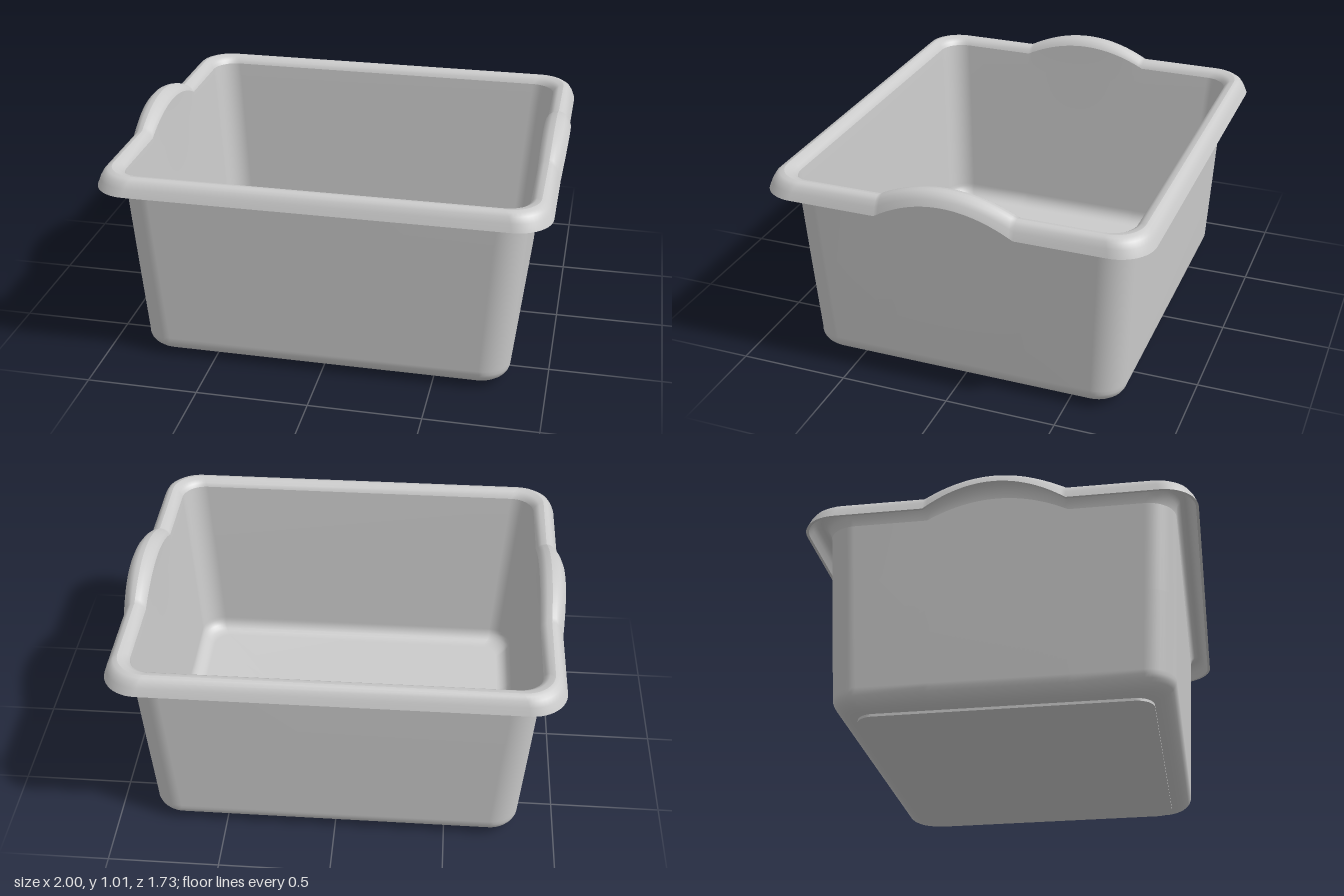
import * as THREE from 'three';

const BUMP = 0.31; // half length of each raised handle
const CORNER = 12, STEPS = 32;

// One rounded-rectangle loop; the two short sides arch upward at the handles.
// Profile point: [half width, height, corner radius, handle lift, handle bulge]
function ring([hx, y, r, lift = 0, bulge = 0]) {
  const hz = Math.max(0, hx - 0.1 - 0.02 * Math.min(1, y / 0.9));
  const half = [];
  const zb = Math.min(BUMP, hz - r);
  // right side, running from -z to +z
  for (let i = 0; i <= STEPS; i++) {
    const t = (i / STEPS) * 2 - 1;
    const arch = 1 - t * t;
    half.push([hx + bulge * arch, y + lift * arch, t * zb]);
  }
  // front right corner, then front left corner
  for (const [cx, start] of [[hx - r, 0], [r - hx, Math.PI / 2]]) {
    for (let i = 0; i <= CORNER; i++) {
      const a = start + (i / CORNER) * Math.PI / 2;
      half.push([cx + r * Math.cos(a), y, hz - r + r * Math.sin(a)]);
    }
  }
  // the other half is the same, turned by 180 degrees
  return [...half, ...half.map(([x, h, z]) => [-x, h, -z])];
}

// Smooth skin through a run of profile points
function loft(name, profile, material) {
  const rings = profile.map(ring);
  const n = rings[0].length;
  const index = [];
  for (let j = 0; j < rings.length - 1; j++) {
    for (let i = 0; i < n; i++) {
      const a = j * n + i, b = j * n + (i + 1) % n;
      index.push(a, a + n, b, b, a + n, b + n);
    }
  }
  const geometry = new THREE.BufferGeometry();
  geometry.setAttribute('position', new THREE.Float32BufferAttribute(rings.flat(2), 3));
  geometry.setIndex(index);
  geometry.computeVertexNormals();
  const mesh = new THREE.Mesh(geometry, material);
  mesh.name = name;
  return mesh;
}

// Quarter-round between floor and wall, from the floor outward
function fillet(hx, y, radius, corner, inset) {
  return Array.from({ length: 8 }, (_, i) => {
    const a = (i / 7) * Math.PI / 2;
    return [hx - radius + radius * Math.sin(a), y + radius * (1 - Math.cos(a)), corner - inset * (1 - i / 7)];
  });
}

export function createModel() {
  const group = new THREE.Group();
  group.name = 'tub';
  const material = new THREE.MeshStandardMaterial({ color: 0xcccccc, side: THREE.DoubleSide });
  const add = (name, profile) => group.add(loft(name, profile, material));

  // foot pad under the tub
  add('footBottom', [[0.1, 0, 0], [0.735, 0, 0.08]]);
  add('footEdge', [[0.735, 0, 0.08], [0.735, 0.012, 0.08]]);

  // outside wall
  add('outerWall', [
    [0.735, 0.012, 0.08], ...fillet(0.835, 0.014, 0.08, 0.13, 0.04),
    [0.86, 0.45, 0.13], [0.887, 0.85, 0.13, 0.08, 0.005],
  ]);

  // rim: hollow underside, thin lip edge, rolled outside, sloped inside
  add('rimUnderside', [
    [0.887, 0.85, 0.13, 0.08, 0.005], [0.894, 0.885, 0.125, 0.08, 0.005],
    [0.91, 0.904, 0.13, 0.08, 0.005], [0.93, 0.911, 0.135, 0.08, 0.005],
    [0.947, 0.903, 0.14, 0.083, 0.01], [0.961, 0.88, 0.145, 0.092, 0.014],
    [0.974, 0.85, 0.15, 0.1, 0.015],
  ]);
  add('rimEdge', [[0.974, 0.85, 0.15, 0.1, 0.015], [0.986, 0.85, 0.16, 0.1, 0.015]]);
  add('rimOutside', [
    [0.986, 0.85, 0.16, 0.1, 0.015], [0.974, 0.885, 0.155, 0.092, 0.015],
    [0.961, 0.909, 0.15, 0.086, 0.012], [0.947, 0.921, 0.145, 0.082, 0.008],
    [0.93, 0.925, 0.135, 0.081, 0.005],
  ]);
  add('rimInside', [
    [0.93, 0.925, 0.135, 0.081, 0.005], [0.908, 0.92, 0.125, 0.08, 0.004],
    [0.891, 0.908, 0.115, 0.08, 0.002], [0.882, 0.89, 0.11, 0.08],
  ]);

  // inside wall and floor
  add('innerWall', [
    [0.882, 0.89, 0.11, 0.08], [0.874, 0.8, 0.11], [0.848, 0.45, 0.11],
    ...fillet(0.823, 0.024, 0.07, 0.11, 0.03).reverse(), [0.1, 0.024, 0],
  ]);
  return group;
}
